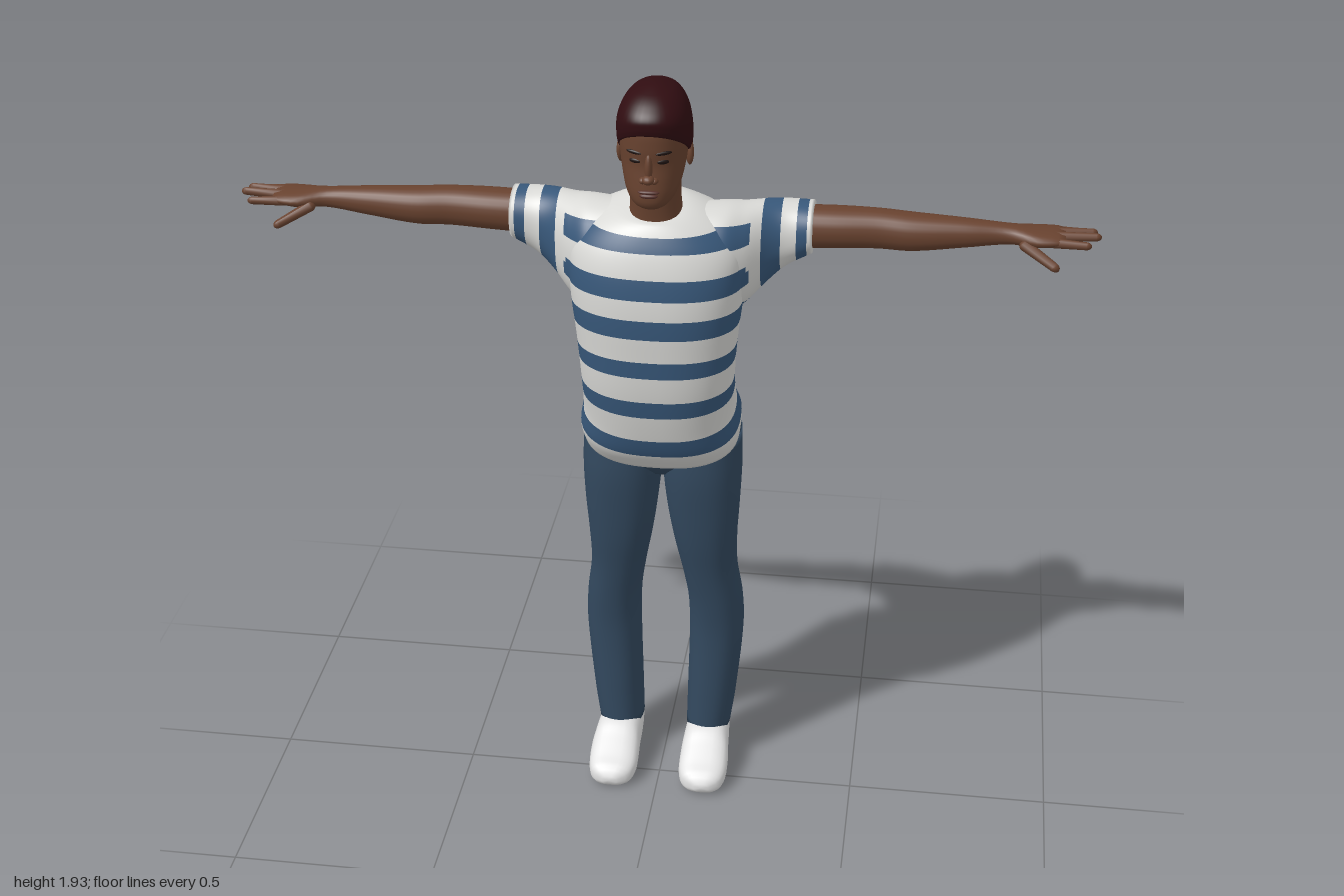
import * as THREE from 'three';

const flat = (name, color) => Object.assign(new THREE.MeshStandardMaterial({ color }), { name });
const skin = flat('skin', 0x68422f);
const hairRed = flat('dark hair', 0x300d11);
const white = flat('shirt white', 0xd9d9d6);
const navy = flat('shirt stripe', 0x38587a);
const denim = flat('denim', 0x33495f);
const shoeWhite = flat('shoe white', 0xe2e2e2);
const dark = flat('eye and brow', 0x1d1210);
const lip = flat('lip', 0x55302a);

// Smooth interpolation through the section rows at position p
function sample(rows, p) {
  let i = 0;
  while (i < rows.length - 2 && p > rows[i + 1][0]) i++;
  const h = rows[i + 1][0] - rows[i][0], t = (p - rows[i][0]) / h;
  const slope = (k, c) => {
    const a = rows[Math.max(k - 1, 0)], b = rows[Math.min(k + 1, rows.length - 1)];
    return (b[c] - a[c]) / (b[0] - a[0]);
  };
  return rows[i].map((v, c) => {
    const w = rows[i + 1][c];
    return (2 * t ** 3 - 3 * t * t + 1) * v + (t ** 3 - 2 * t * t + t) * h * slope(i, c)
      + (3 * t * t - 2 * t ** 3) * w + (t ** 3 - t * t) * h * slope(i + 1, c);
  });
}

// Where the two section directions go for each loft axis
const place = {
  y: (p, a, b) => [a, p, b], // a = x, b = z
  x: (p, a, b) => [p, b, a], // a = z, b = y
  z: (p, a, b) => [b, a, p], // a = y, b = x
};

// Closed loft; section = [p, aMin, aMax, bMin, bMax, roundness, tilt]
function loft(axis, sections, rows, segs, paint = () => 0) {
  const full = sections.map(s => [...s, ...[2.2, 0].slice(s.length - 5)]);
  const p0 = full[0][0], p1 = full[full.length - 1][0];
  const pos = [], faces = [[], []], ends = [];
  for (let r = 0; r <= rows; r++) {
    const p = p0 + (p1 - p0) * r / rows;
    const [, a0, a1, b0, b1, n, tilt] = sample(full, p);
    const round = v => Math.sign(v) * Math.abs(v) ** (2 / n);
    for (let j = 0; j < segs; j++) {
      const th = j / segs * Math.PI * 2;
      const a = round(Math.cos(th)) * (a1 - a0) / 2, b = round(Math.sin(th)) * (b1 - b0) / 2;
      pos.push(...place[axis](p + tilt * b, (a0 + a1) / 2 + a, (b0 + b1) / 2 + b));
    }
    if (r === 0 || r === rows) ends.push(place[axis](p, (a0 + a1) / 2, (b0 + b1) / 2));
  }
  const first = pos.length / 3;
  pos.push(...ends[0], ...ends[1]);
  for (let j = 0; j < segs; j++) {
    const k = (j + 1) % segs;
    for (let r = 0; r < rows; r++) {
      const A = r * segs + j, B = r * segs + k, C = A + segs, D = B + segs;
      const mid = [0, 1, 2].map(c => (pos[A * 3 + c] + pos[D * 3 + c]) / 2);
      faces[paint(p0 + (p1 - p0) * (r + 0.5) / rows, mid)].push(A, C, B, B, C, D);
    }
    faces[0].push(first, j, k, first + 1, rows * segs + k, rows * segs + j);
  }
  const g = new THREE.BufferGeometry();
  g.setAttribute('position', new THREE.Float32BufferAttribute(pos, 3));
  g.setIndex([...faces[0], ...faces[1]]);
  g.addGroup(0, faces[0].length, 0);
  if (faces[1].length) g.addGroup(faces[0].length, faces[1].length, 1);
  g.computeVertexNormals();
  return g;
}

function mirror(geo) {
  const g = geo.clone().scale(-1, 1, 1);
  const ix = g.index.array;
  for (let i = 0; i < ix.length; i += 3) [ix[i], ix[i + 1]] = [ix[i + 1], ix[i]];
  g.computeVertexNormals();
  return g;
}

function ball(x, y, z, sx, sy, sz, ry = 0, rz = 0) {
  return new THREE.SphereGeometry(1, 16, 12).scale(sx, sy, sz).rotateZ(rz).rotateY(ry).translate(x, y, z);
}

function finger(from, to, r) {
  const a = new THREE.Vector3(...from), b = new THREE.Vector3(...to), d = b.clone().sub(a);
  const g = new THREE.CapsuleGeometry(r, d.length() - r, 5, 10);
  const taper = g.attributes.position;
  for (let i = 0; i < taper.count; i++) {
    const k = 1 - 0.25 * (taper.getY(i) / d.length() + 0.5);
    taper.setX(i, taper.getX(i) * k).setZ(i, taper.getZ(i) * k);
  }
  g.applyQuaternion(new THREE.Quaternion().setFromUnitVectors(new THREE.Vector3(0, 1, 0), d.normalize()));
  return g.translate(...a.add(b).multiplyScalar(0.5).toArray());
}

export function createModel() {
  const model = new THREE.Group();
  const add = (name, geo, mat) => {
    const m = new THREE.Mesh(geo, mat);
    m.name = name;
    model.add(m);
  };
  const pair = (name, geo, mat) => {
    add('left ' + name, geo, mat);
    add('right ' + name, mirror(geo), mat);
  };
  // Section symmetric about x = 0
  const sym = (p, w, z0, z1, n = 2.2, tilt = 0) => [p, -w, w, z0, z1, n, tilt];
  const striped = y => ((y - 1.45 + 1) % 0.1 < 0.042 ? 1 : 0);

  // Shirt body with a hem that dips at the front
  add('shirt body', loft('y', [
    sym(1.005, 0.19, -0.185, 0.075, 2.5, -0.38), sym(1.05, 0.194, -0.185, 0.115, 2.5, -0.3),
    sym(1.1, 0.183, -0.165, 0.14, 2.4, -0.2), sym(1.2, 0.182, -0.118, 0.168, 2.4, -0.08),
    sym(1.3, 0.189, -0.11, 0.18, 2.4), sym(1.4, 0.2, -0.115, 0.186, 2.4),
    sym(1.48, 0.205, -0.115, 0.18, 2.4), sym(1.54, 0.2, -0.115, 0.165, 2.3),
    sym(1.59, 0.165, -0.105, 0.145, 2.2, -0.05), sym(1.62, 0.11, -0.06, 0.13, 2.1, -0.15),
    sym(1.632, 0.07, -0.02, 0.122, 2, -0.28),
  ], 64, 64, striped), [white, navy]);

  // Sleeves, with bands around the arm
  const sleevePaint = (x, mid) => (x < 0.215 ? striped(mid[1])
    : (x > 0.24 && x < 0.278) || (x > 0.318 && x < 0.342) ? 1 : 0);
  pair('sleeve', loft('x', [
    [0.1, -0.09, 0.12, 1.36, 1.622], [0.16, -0.108, 0.115, 1.36, 1.622], [0.2, -0.115, 0.085, 1.375, 1.617],
    [0.25, -0.12, 0.035, 1.42, 1.615], [0.29, -0.122, 0.015, 1.455, 1.613], [0.352, -0.12, 0.012, 1.492, 1.611],
  ], 42, 64, sleevePaint), [white, navy]);

  // Arms and hands
  pair('arm', loft('x', [
    [0.28, -0.1, -0.005, 1.5, 1.6], [0.4, -0.106, -0.004, 1.505, 1.602], [0.5, -0.1, -0.008, 1.51, 1.602],
    [0.58, -0.096, -0.005, 1.51, 1.598], [0.7, -0.085, -0.015, 1.525, 1.592], [0.8, -0.083, -0.025, 1.537, 1.583],
    [0.86, -0.102, -0.004, 1.538, 1.578], [0.91, -0.108, -0.008, 1.544, 1.574], [0.925, -0.1, -0.016, 1.55, 1.57],
  ], 40, 24), skin);
  const fingers = [
    [[0.89, 1.557, -0.094], [0.965, 1.552, -0.106], 0.011], [[0.89, 1.562, -0.07], [0.992, 1.564, -0.077], 0.0125],
    [[0.89, 1.562, -0.045], [1, 1.566, -0.046], 0.0125], [[0.89, 1.557, -0.021], [0.978, 1.556, -0.014], 0.012],
    [[0.83, 1.55, -0.022], [0.908, 1.511, 0.02], 0.014],
  ];
  fingers.forEach(f => pair('finger', finger(...f), skin));

  // Trousers
  add('trouser seat', loft('y', [
    sym(0.89, 0.05, -0.1, -0.01), sym(0.93, 0.15, -0.155, 0.028), sym(0.97, 0.192, -0.178, 0.045, 2.4),
    sym(1.03, 0.185, -0.18, 0.035, 2.4),
  ], 14, 48), denim);
  pair('trouser leg', loft('y', [
    [0.1, 0.058, 0.172, -0.2, -0.04], [0.2, 0.06, 0.185, -0.2, -0.04], [0.4, 0.064, 0.202, -0.2, -0.038],
    [0.5, 0.061, 0.198, -0.195, -0.026], [0.6, 0.046, 0.185, -0.177, -0.008], [0.7, 0.027, 0.186, -0.158, 0.014],
    [0.8, 0.012, 0.192, -0.152, 0.03], [0.9, 0.002, 0.196, -0.166, 0.042], [1, 0, 0.194, -0.18, 0.042],
  ], 40, 32), denim);

  // Shoes
  pair('shoe', loft('z', [
    [-0.2, 0.03, 0.085, 0.09, 0.14], [-0.188, 0.016, 0.11, 0.07, 0.16], [-0.12, 0.012, 0.125, 0.06, 0.17],
    [-0.04, 0.008, 0.122, 0.057, 0.176], [0, 0.004, 0.1, 0.055, 0.18], [0.05, 0, 0.072, 0.057, 0.178],
    [0.083, 0.003, 0.056, 0.072, 0.165], [0.097, 0.015, 0.038, 0.1, 0.14],
  ].map(s => [...s, 2.7]), 30, 28), shoeWhite);

  // Neck and head
  add('neck', loft('y', [
    sym(1.56, 0.075, -0.03, 0.115), sym(1.61, 0.063, -0.01, 0.115), sym(1.65, 0.058, 0, 0.12), sym(1.72, 0.058, 0.005, 0.13),
  ], 12, 28), skin);
  add('head', loft('y', [
    sym(1.664, 0.026, 0.1, 0.162), sym(1.675, 0.042, 0.075, 0.177), sym(1.7, 0.058, 0.04, 0.182),
    sym(1.73, 0.067, 0.01, 0.181), sym(1.77, 0.074, -0.008, 0.178), sym(1.81, 0.077, -0.018, 0.182),
    sym(1.86, 0.075, -0.018, 0.178), sym(1.9, 0.055, 0.01, 0.15),
  ], 30, 40), skin);
  add('hair', loft('y', [
    sym(1.778, 0.08, -0.03, 0.184, 2.2, 0.62), sym(1.8, 0.084, -0.034, 0.188, 2.2, 0.52),
    sym(1.85, 0.083, -0.034, 0.188, 2.2, 0.25), sym(1.89, 0.071, -0.026, 0.172, 2.2, 0.08),
    sym(1.918, 0.047, 0, 0.142), sym(1.931, 0.015, 0.05, 0.1),
  ], 30, 40), hairRed);

  // Face
  add('nose bridge', ball(0, 1.768, 0.177, 0.009, 0.034, 0.013), skin);
  add('nose tip', ball(0, 1.743, 0.185, 0.014, 0.011, 0.015), skin);
  pair('nostril', ball(0.013, 1.739, 0.178, 0.009, 0.008, 0.011), skin);
  pair('ear', ball(0.077, 1.768, 0.065, 0.009, 0.031, 0.018, 0.3), skin);
  pair('eye', ball(0.031, 1.782, 0.171, 0.014, 0.0055, 0.004, 0.35), dark);
  pair('brow', ball(0.033, 1.803, 0.173, 0.019, 0.0045, 0.004, 0.35, 0.08), dark);
  add('upper lip', ball(0, 1.712, 0.18, 0.025, 0.005, 0.008), lip);
  add('lower lip', ball(0, 1.703, 0.18, 0.021, 0.006, 0.008), lip);
  return model;
}
